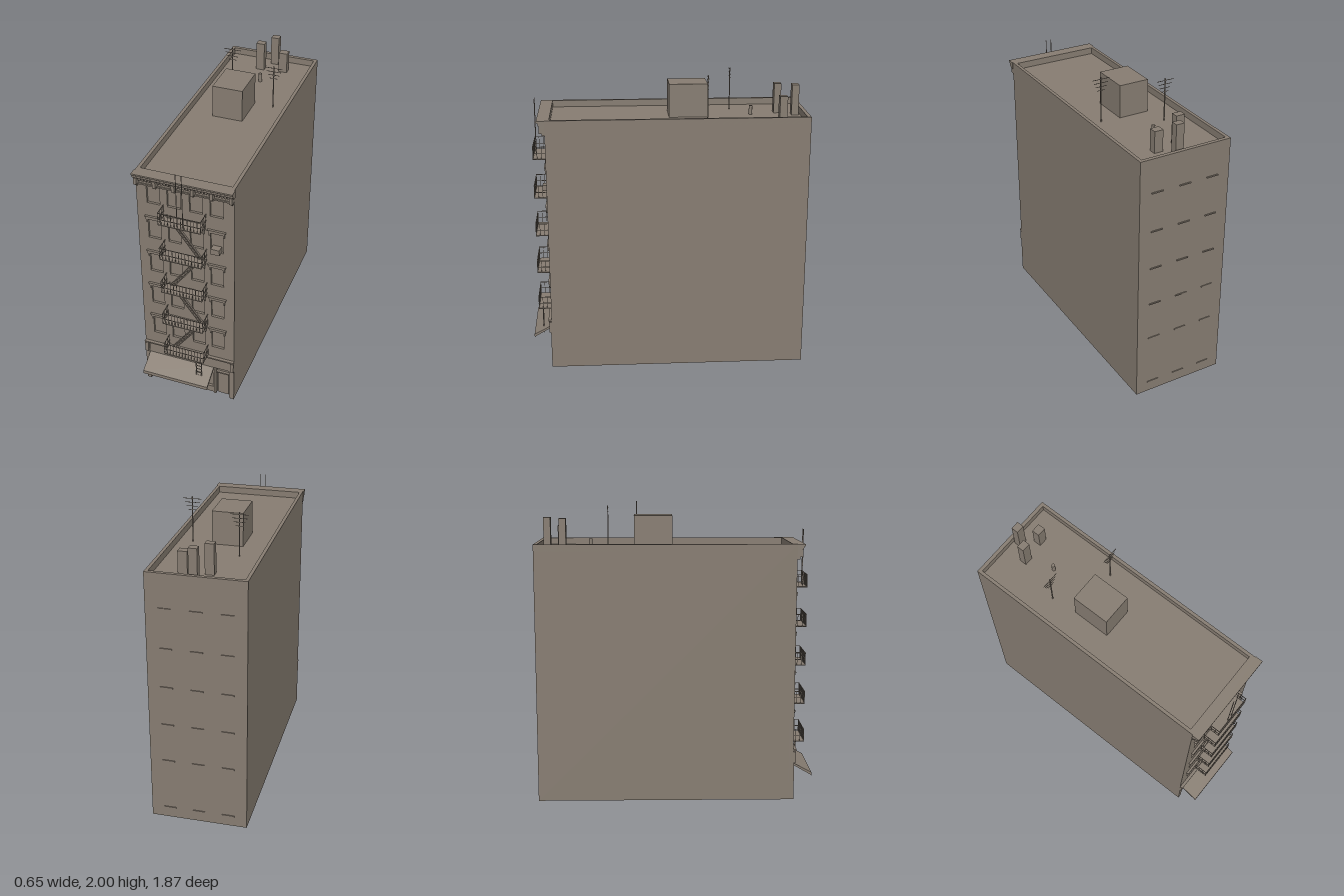
import * as THREE from 'three';

const masonry = new THREE.MeshStandardMaterial({ color: 0x877d72, side: THREE.DoubleSide });
masonry.name = 'taupe masonry';

const W = 0.32, H = 1.74, FRONT = 0.805, BACK = -0.925, ROOF = 1.695;

export function createModel() {
  const model = new THREE.Group();
  model.name = 'apartmentBuilding';

  const add = (name, geometry, parent = model) => {
    const mesh = new THREE.Mesh(geometry, masonry);
    mesh.name = name;
    parent.add(mesh);
    return mesh;
  };
  // Box given by its extents on each axis
  const box = (name, x0, x1, y0, y1, z0, z1, parent) => {
    const m = add(name, new THREE.BoxGeometry(x1 - x0, y1 - y0, z1 - z0), parent);
    m.position.set((x0 + x1) / 2, (y0 + y1) / 2, (z0 + z1) / 2);
    return m;
  };
  const group = (name) => {
    const g = new THREE.Group();
    g.name = name;
    model.add(g);
    return g;
  };
  const rectangle = (Type, x0, x1, y0, y1) => new Type([
    new THREE.Vector2(x0, y0), new THREE.Vector2(x1, y0),
    new THREE.Vector2(x1, y1), new THREE.Vector2(x0, y1)]);
  const extrude = (shape, depth) => new THREE.ExtrudeGeometry(shape, { depth, bevelEnabled: false });

  // Side and back walls, open underneath
  for (const s of [-1, 1]) {
    const wall = add('sideWall', new THREE.PlaneGeometry(FRONT - BACK, H));
    wall.rotation.y = s * Math.PI / 2;
    wall.position.set(s * W, H / 2, (FRONT + BACK) / 2);
  }
  const backWall = add('backWall', new THREE.PlaneGeometry(2 * W, H));
  backWall.rotation.y = Math.PI;
  backWall.position.set(0, H / 2, BACK);

  // Front wall with window openings and a shopfront notch
  const columns = [-0.208, -0.073, 0.073, 0.206];
  const floors = [0.44, 0.708, 0.977, 1.246, 1.513];
  const facade = new THREE.Shape([
    [-W, 0], [-0.29, 0], [-0.29, 0.255], [0.285, 0.255], [0.285, 0], [W, 0], [W, H], [-W, H],
  ].map(([x, y]) => new THREE.Vector2(x, y)));
  const windows = group('frontWindows');
  floors.forEach((y, i) => {
    const top = i === 4 ? 1.642 : y + 0.148;
    for (const x of columns) {
      facade.holes.push(rectangle(THREE.Path, x - 0.043, x + 0.043, y, top));
      box('windowPane', x - 0.043, x + 0.043, y, top, 0.782, 0.79, windows);
      if (i === 4) continue;
      // Hood on two small brackets
      box('windowHood', x - 0.054, x + 0.054, y + 0.146, y + 0.161, FRONT, 0.816, windows);
      box('hoodCap', x - 0.06, x + 0.06, y + 0.161, y + 0.169, FRONT, 0.82, windows);
      for (const s of [-1, 1]) {
        box('hoodBracket', x + s * 0.047 - 0.005, x + s * 0.047 + 0.005, y + 0.125, y + 0.146, FRONT, 0.814, windows);
      }
    }
  });
  add('frontWall', extrude(facade, 0.03)).position.z = FRONT - 0.03;
  box('airConditioner', 0.175, 0.232, 1.246, 1.285, 0.79, 0.835);

  // Roof deck and parapet
  const deck = add('roofDeck', new THREE.PlaneGeometry(2 * W, FRONT - BACK));
  deck.rotation.x = -Math.PI / 2;
  deck.position.set(0, ROOF, (FRONT + BACK) / 2);
  const rim = rectangle(THREE.Shape, -W, W, -FRONT, -BACK);
  rim.holes.push(rectangle(THREE.Path, -0.298, 0.298, -0.775, 0.9));
  const parapet = add('parapet', extrude(rim, H - ROOF));
  parapet.rotation.x = -Math.PI / 2;
  parapet.position.y = ROOF;

  // Cornice: moulded profile run across the front, then brackets and dentils
  const cornice = group('cornice');
  const profile = new THREE.Shape([
    [0, 1.69], [0.022, 1.69], [0.025, 1.7], [0.04, 1.708], [0.042, 1.722], [0.052, 1.73], [0.052, H], [0, H],
  ].map(([z, y]) => new THREE.Vector2(-z, y)));
  const moulding = add('corniceMoulding', extrude(profile, 0.65), cornice);
  moulding.rotation.y = Math.PI / 2;
  moulding.position.set(-0.325, 0, FRONT);
  box('frieze', -W, W, 1.642, 1.652, FRONT, 0.813, cornice);
  for (let i = 0; i < 6; i++) {
    const x = -0.308 + i * 0.1232;
    box('corniceBracket', x - 0.01, x + 0.01, 1.655, 1.702, FRONT, 0.842, cornice);
    box('bracketFoot', x - 0.007, x + 0.007, 1.64, 1.655, FRONT, 0.825, cornice);
    for (let j = 1; j < 6 && i < 5; j++) {
      const d = x + j * 0.0205;
      box('dentil', d - 0.006, d + 0.006, 1.675, 1.69, FRONT, 0.822, cornice);
    }
  }

  // Shopfront
  const shop = group('shopfront');
  box('shopBackPanel', -0.29, 0.285, 0, 0.255, 0.765, 0.773, shop);
  box('signBoard', -0.29, 0.285, 0.255, 0.342, FRONT, 0.812, shop);
  box('signLedge', -W, W, 0.342, 0.352, FRONT, 0.826, shop);
  box('shopBase', -0.29, 0.17, 0, 0.05, 0.773, 0.79, shop);
  box('shopTransom', -0.29, 0.17, 0.175, 0.19, 0.773, 0.785, shop);
  for (const x of [-0.285, -0.17, -0.06, 0.055, 0.165]) {
    box('shopMullion', x - 0.005, x + 0.005, 0.05, 0.255, 0.773, 0.785, shop);
  }
  box('doorPost', 0.172, 0.187, 0, 0.255, 0.773, 0.8, shop);
  box('doorHeader', 0.187, 0.285, 0.192, 0.202, 0.773, 0.79, shop);
  box('door', 0.195, 0.272, 0, 0.192, 0.773, 0.78, shop);
  for (const s of [-1, 1]) {
    box('pilaster', s * 0.306 - 0.014, s * 0.306 + 0.014, 0, 0.26, FRONT, 0.811, shop);
    box('pilasterCapital', s * 0.308 - 0.012, s * 0.308 + 0.012, 0.26, 0.335, FRONT, 0.822, shop);
  }

  // Sloping awning with a thin front lip
  const slope = new THREE.Shape([[0, 0.25], [0.13, 0.182], [0.13, 0.157], [0.122, 0.166], [0, 0.236]]
    .map(([z, y]) => new THREE.Vector2(-z, y)));
  const awning = add('awning', extrude(slope, 0.464));
  awning.rotation.y = Math.PI / 2;
  awning.position.set(-0.29, 0, FRONT);

  // Fire escape: balconies with railings
  const escape = group('fireEscape');
  const X0 = -0.142, X1 = 0.137, OUT = 0.9, T = 0.0015;
  const bar = (x, y0, y1, z) => box('railBar', x - T, x + T, y0, y1, z - T, z + T, escape);
  const balconies = [0.36, 0.629, 0.898, 1.167, 1.436];
  for (const y of balconies) {
    const top = y + 0.085;
    box('balconyFloor', X0, X1, y - 0.003, y + 0.003, FRONT, OUT, escape);
    for (const h of [y + 0.04, top]) {
      box('frontRail', X0, X1, h - 0.002, h + 0.002, OUT - 0.004, OUT, escape);
      for (const x of [X0, X1]) box('sideRail', x - 0.002, x + 0.002, h - 0.002, h + 0.002, FRONT, OUT, escape);
    }
    for (let i = 0; i <= 13; i++) bar(X0 + (X1 - X0) * i / 13, y, top, OUT - 0.002);
    for (const z of [0.812, 0.841, 0.87]) for (const x of [X0, X1]) bar(x, y, top, z);
  }

  // Stairs zigzagging close to the wall
  for (let i = 0; i < 4; i++) {
    const s = i % 2 ? -1 : 1;
    const rise = 0.3, run = 0.22, angle = Math.atan2(rise, run) * s;
    const stair = new THREE.Group();
    stair.name = 'stairFlight';
    stair.position.set(0, balconies[i] + 0.137, 0.813);
    escape.add(stair);
    for (const o of [-0.012, 0.012]) {
      const stringer = box('stairStringer', -0.186, 0.186, -0.003, 0.003, -0.006, 0.006, stair);
      stringer.rotation.z = angle;
      stringer.position.x = o;
    }
    for (let k = 0; k < 12; k++) {
      const t = (k + 0.5) / 12 - 0.5;
      const x = t * run * s, y = t * rise;
      box('stairTread', x - 0.012, x + 0.012, y - 0.0015, y + 0.0015, -0.006, 0.006, stair);
    }
  }

  // Drop ladder below and roof ladder poles above
  for (const x of [0.075, 0.112]) box('ladderRail', x - 0.003, x + 0.003, 0.165, 0.36, 0.869, 0.875, escape);
  for (let y = 0.185; y < 0.35; y += 0.028) box('ladderRung', 0.075, 0.112, y - 0.002, y + 0.002, 0.87, 0.874, escape);
  for (const x of [-0.022, 0.016]) box('roofLadderPole', x - 0.002, x + 0.002, 1.436, 1.82, 0.881, 0.885, escape);

  // Rooftop stairhouse, chimneys and vent
  box('stairhouse', -0.132, 0.074, ROOF, 1.918, -0.27, -0.013);
  box('chimney', -0.077, -0.018, ROOF, 1.895, -0.778, -0.73);
  box('chimney', 0.085, 0.145, ROOF, 1.84, -0.798, -0.746);
  box('chimney', -0.003, 0.053, ROOF, 1.9, -0.888, -0.84);
  add('roofVent', new THREE.CylinderGeometry(0.012, 0.012, 0.06, 12)).position.set(0.01, 1.725, -0.568);

  // Aerials with tapering crossbars
  for (const [x, z, top, count] of [[-0.15, -0.442, 1.985, 4], [0.205, -0.258, 2, 4]]) {
    const aerial = group('aerial');
    box('aerialMast', x - 0.003, x + 0.003, ROOF, top, z - 0.003, z + 0.003, aerial);
    for (let i = 0; i < count; i++) {
      const half = 0.06 - i * 0.011, y = top - 0.014 - i * 0.025;
      box('aerialBar', x - half, x + half, y - 0.0015, y + 0.0015, z - 0.0015, z + 0.0015, aerial);
    }
  }

  // Rear window sills
  for (const y of [0.075, 0.435, 0.703, 0.972, 1.241, 1.51]) {
    for (const x of [-0.197, 0, 0.197]) {
      box('rearSill', x - 0.041, x + 0.041, y - 0.004, y + 0.004, BACK - 0.006, BACK);
    }
  }
  return model;
}
